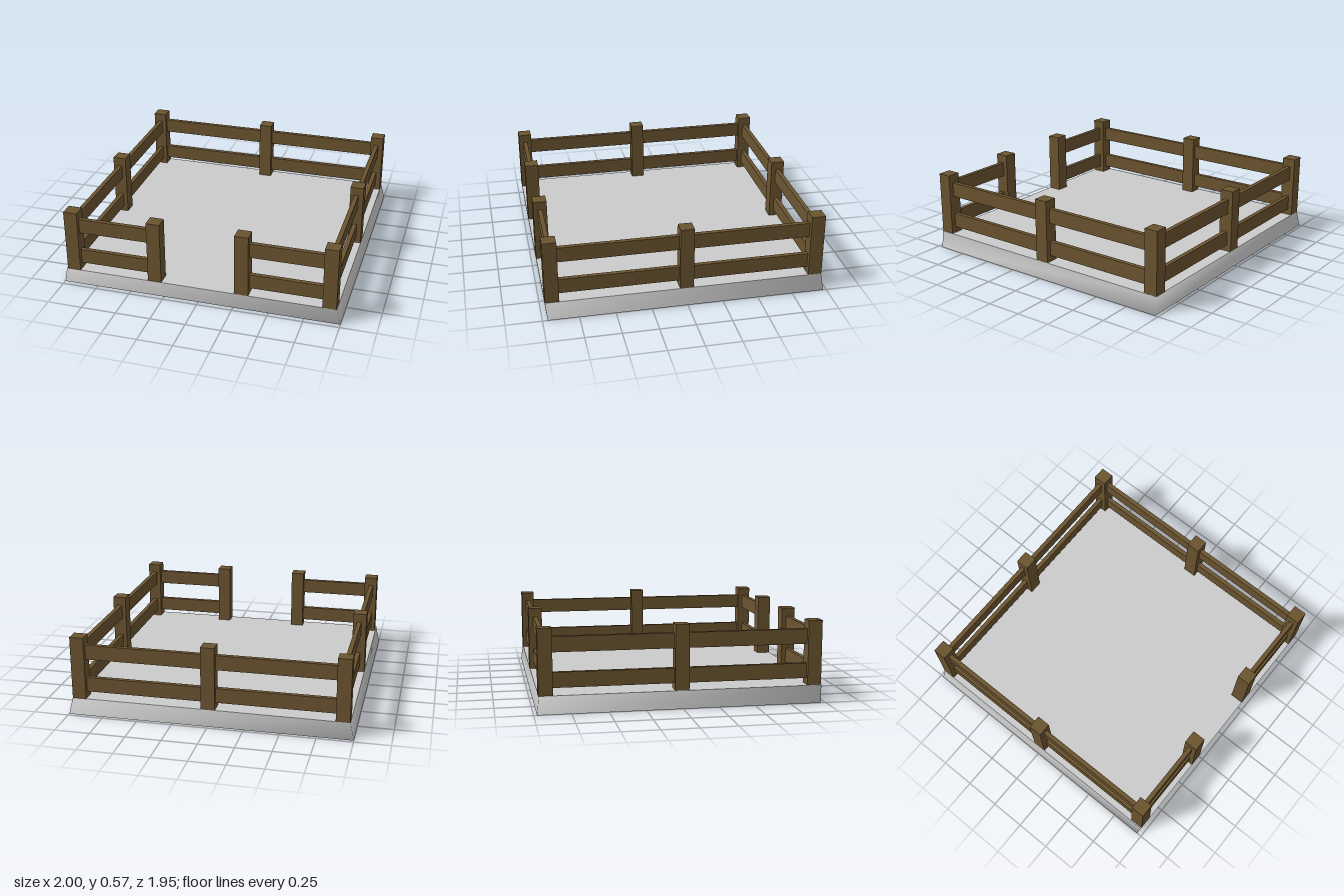
import * as THREE from 'three';

export function createModel() {
  const model = new THREE.Group();
  const wood = new THREE.MeshStandardMaterial({ color: 0x6b5430 });
  const stone = new THREE.MeshStandardMaterial({ color: 0xcccccc, side: THREE.DoubleSide });

  const DECK = 0.12, POST_TOP = 0.57, POST = 0.097, RAIL = 0.032;
  const X = 0.922, BACK = -0.918, FRONT = 0.927;

  function addBox(name, parent, w, h, d, x, y, z) {
    const mesh = new THREE.Mesh(new THREE.BoxGeometry(w, h, d), wood);
    mesh.name = name;
    mesh.position.set(x, y, z);
    parent.add(mesh);
  }

  // Deck: one flat sheet carrying the fence
  const deckFront = 0.976, deckBack = -0.964, deckX = 0.972;
  const deck = new THREE.Mesh(new THREE.PlaneGeometry(2 * deckX, deckFront - deckBack), stone);
  deck.name = 'deck';
  deck.rotation.x = -Math.PI / 2;
  deck.position.set(0, DECK, (deckFront + deckBack) / 2);
  model.add(deck);

  // Skirt: open band flaring from the deck edge to the ground, smooth around the corners
  const ring = (x, y, front, back) => [x, y, front, x, y, back, -x, y, back, -x, y, front];
  const skirtGeometry = new THREE.BufferGeometry();
  skirtGeometry.setAttribute('position', new THREE.Float32BufferAttribute(
    [...ring(1, 0, 0.965, -0.978), ...ring(deckX, DECK, deckFront, deckBack)], 3));
  const faces = [];
  for (let i = 0; i < 4; i++) {
    const j = (i + 1) % 4;
    faces.push(i, j, j + 4, i, j + 4, i + 4);
  }
  skirtGeometry.setIndex(faces);
  skirtGeometry.computeVertexNormals();
  const skirt = new THREE.Mesh(skirtGeometry, stone);
  skirt.name = 'skirt';
  model.add(skirt);

  // Fence posts: corners, mid-sides and the two gate posts
  const posts = new THREE.Group();
  posts.name = 'posts';
  model.add(posts);
  const spots = [
    [-X, BACK], [0, BACK], [X, BACK], [-X, 0], [X, 0],
    [-0.916, FRONT], [-0.312, FRONT], [0.312, FRONT], [X, FRONT],
  ];
  for (const [x, z] of spots) {
    addBox('post', posts, POST, POST_TOP - DECK, POST, x, (POST_TOP + DECK) / 2, z);
  }

  // Rails: two heights on every side, leaving the gateway open at the front
  const rails = new THREE.Group();
  rails.name = 'rails';
  model.add(rails);
  for (const y of [0.217, 0.456]) {
    addBox('backRail', rails, 2 * X, 0.105, RAIL, 0, y, BACK);
    for (const side of [-1, 1]) {
      addBox('sideRail', rails, RAIL, 0.105, FRONT - BACK, side * 0.919, y, (FRONT + BACK) / 2);
      addBox('frontRail', rails, X - 0.312, 0.105, RAIL, side * (X + 0.312) / 2, y, FRONT);
    }
  }
  return model;
}
